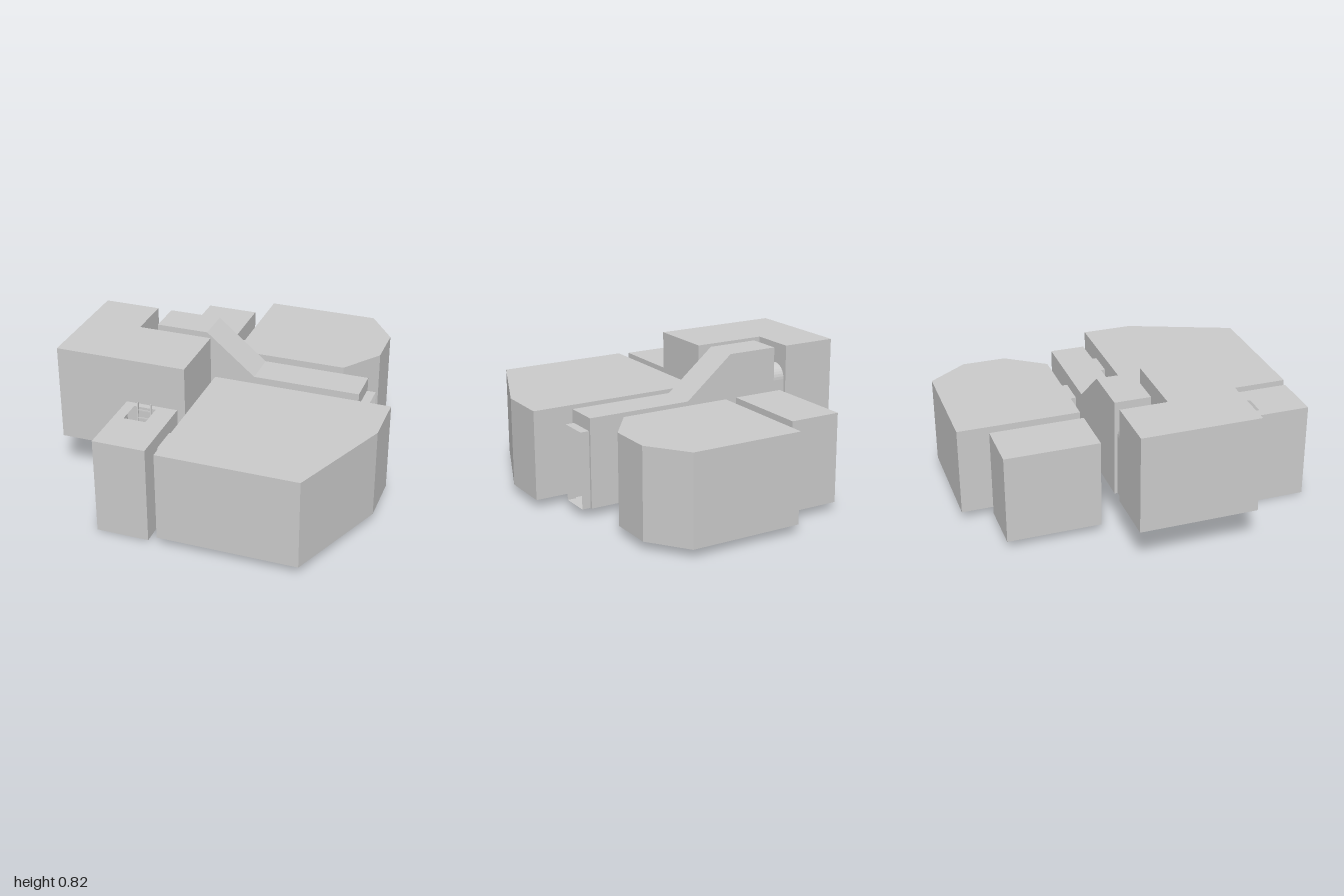
import * as THREE from 'three';
import { mergeGeometries } from 'three/addons/utils/BufferGeometryUtils.js';

const material = new THREE.MeshStandardMaterial({ color: 0xcccccc, flatShading: true, side: THREE.DoubleSide });

// Ribbon of flat quads between two matching rows of points
function strip(a, b) {
  const pos = [];
  for (let i = 0; i < a.length - 1; i++) {
    for (const p of [a[i], b[i], b[i + 1], a[i], b[i + 1], a[i + 1]]) pos.push(...p);
  }
  const g = new THREE.BufferGeometry();
  g.setAttribute('position', new THREE.Float32BufferAttribute(pos, 3));
  g.computeVertexNormals();
  return g;
}

function toShape(points, hole) {
  const s = new THREE.Shape(points.map(([x, y]) => new THREE.Vector2(x, y)));
  if (hole) s.holes.push(new THREE.Path(hole.map(([x, y]) => new THREE.Vector2(x, y))));
  return s;
}

// Flat surface; points are (x, z) at height y
function slab(points, y, hole) {
  const g = new THREE.ShapeGeometry(toShape(points, hole)).rotateX(Math.PI / 2).translate(0, y, 0).toNonIndexed();
  g.deleteAttribute('uv');
  return g;
}

function walls(points, y0, y1) {
  const loop = [...points, points[0]];
  return strip(loop.map(([x, z]) => [x, y0, z]), loop.map(([x, z]) => [x, y1, z]));
}

const rect = (x0, x1, z0, z1) => [[x0, z0], [x1, z0], [x1, z1], [x0, z1]];

export function createModel() {
  const group = new THREE.Group();
  const add = (name, ...parts) => {
    const mesh = new THREE.Mesh(parts.length > 1 ? mergeGeometries(parts) : parts[0], material);
    mesh.name = name;
    group.add(mesh);
    return mesh;
  };
  const room = (name, points, y0, y1, floorHole, roofHole) =>
    add(name, walls(points, y0, y1), slab(points, y0, floorHole), slab(points, y1, roofHole));

  // Rooms
  const pit = [[-0.125, 0.4, 0.18, 0.905], [-0.125, 0.37, 0.21, 0.875], [-0.125, 0.335, 0.24, 0.845]]
    .map((r) => rect(...r));
  const hatch = rect(-0.43, -0.3, 0.555, 0.7);
  room('greatHall', [[-0.125, 0.08], [0.925, 0.08], [0.925, 0.385], [0.68, 1], [-0.125, 1]], 0.05, 0.577, pit[0]);
  room('backHall', [[-0.12, -1], [0.55, -1], [0.715, -0.77], [0.715, -0.51], [0.55, -0.28], [-0.12, -0.28]], 0.05, 0.577);
  room('backChamber', rect(-0.5, -0.19, -0.83, -0.28), 0.05, 0.577);
  room('upperRoom', [[-0.93, -0.205], [-0.595, -0.205], [-0.595, 0.07], [-0.155, 0.07], [-0.155, 0.48], [-0.93, 0.48]], 0.245, 0.818);
  room('ladderRoom', rect(-0.49, -0.185, 0.52, 0.98), 0.005, 0.577, null, hatch);

  // Sunken floor with steps on three sides
  const levels = [0.05, 0.035, 0.02, 0.005];
  pit.forEach((p, i) => add('sunkenStep', walls(p, levels[i + 1], levels[i]), slab(p, levels[i + 1], pit[i + 1])));

  // Doorway passages between the rooms
  room('ladderRoomPassage', rect(-0.185, -0.125, 0.645, 0.815), 0.005, 0.5);
  room('backChamberPassage', rect(-0.19, -0.12, -0.575, -0.4), 0.05, 0.5);
  room('backHallPassage', rect(0.205, 0.385, -0.28, -0.205), 0.05, 0.5);
  room('greatHallPassage', rect(0.51, 0.685, 0.005, 0.08), 0.05, 0.5);

  // Corridor with a stair rising to the upper level
  const z0 = -0.205, z1 = 0.005;
  const profile = [[0.72, 0.577], [0.09, 0.577], [-0.2, 0.818], [-0.51, 0.818], [-0.51, 0.245]];
  const steps = 7, top = 0.245, bottom = 0.05, run = 0.29 / steps, rise = (top - bottom) / steps;
  for (let i = 0; i < steps; i++) {
    const x = -0.2 + i * run, y = top - i * rise;
    profile.push([x, y], [x, y - rise]);
  }
  profile.push([0.72, bottom]);
  const row = (z) => profile.map(([x, y]) => [x, y, z]);
  add('corridorShell', strip(row(z1), row(z0)));
  for (const z of [z0, z1]) {
    const g = new THREE.ShapeGeometry(toShape(profile)).translate(0, 0, z);
    add('corridorWall', g);
  }

  // Entrance: end wall around the opening, then a short open porch
  const door = [[-0.19, 0.05], [-0.19, 0.5], [-0.01, 0.5], [-0.01, 0.05]];
  const frame = [[z0, 0.05], [z0, 0.577], [z1, 0.577], [z1, 0.05], ...[...door].reverse()];
  const end = new THREE.ShapeGeometry(toShape(frame)).rotateY(-Math.PI / 2).translate(0.72, 0, 0);
  add('entranceWall', end);
  const porch = [...door, door[0]];
  add('entrancePorch', strip(porch.map(([z, y]) => [0.72, y, z]), porch.map(([z, y]) => [0.772, y, z])));

  // Arched passage from the stair head into the upper room
  const r = 0.085, arch = new THREE.Shape();
  arch.moveTo(-r, 0.245);
  arch.lineTo(r, 0.245);
  arch.lineTo(r, 0.61);
  arch.absarc(0, 0.61, r, 0, Math.PI, false);
  arch.closePath();
  add('archedPassage', new THREE.ExtrudeGeometry(arch, { depth: 0.085, bevelEnabled: false, curveSegments: 8 })
    .rotateY(Math.PI / 2).translate(-0.595, 0, -0.1025));

  // Leaning ladder through the hatch
  const ladder = new THREE.Group();
  ladder.name = 'ladder';
  const length = 0.61, lean = Math.atan2(0.055, length);
  const bar = (name, w, h, d, x, y) => {
    const m = new THREE.Mesh(new THREE.BoxGeometry(w, h, d), material);
    m.name = name;
    m.position.set(x, y, 0);
    ladder.add(m);
  };
  for (const s of [-1, 1]) bar('ladderRail', 0.008, length, 0.01, s * 0.04, length / 2);
  for (let i = 1; i <= 12; i++) bar('ladderRung', 0.08, 0.006, 0.006, 0, i * 0.047);
  ladder.position.set(-0.364, 0.001, 0.615);
  ladder.rotation.x = -lean;
  group.add(ladder);

  return group;
}
